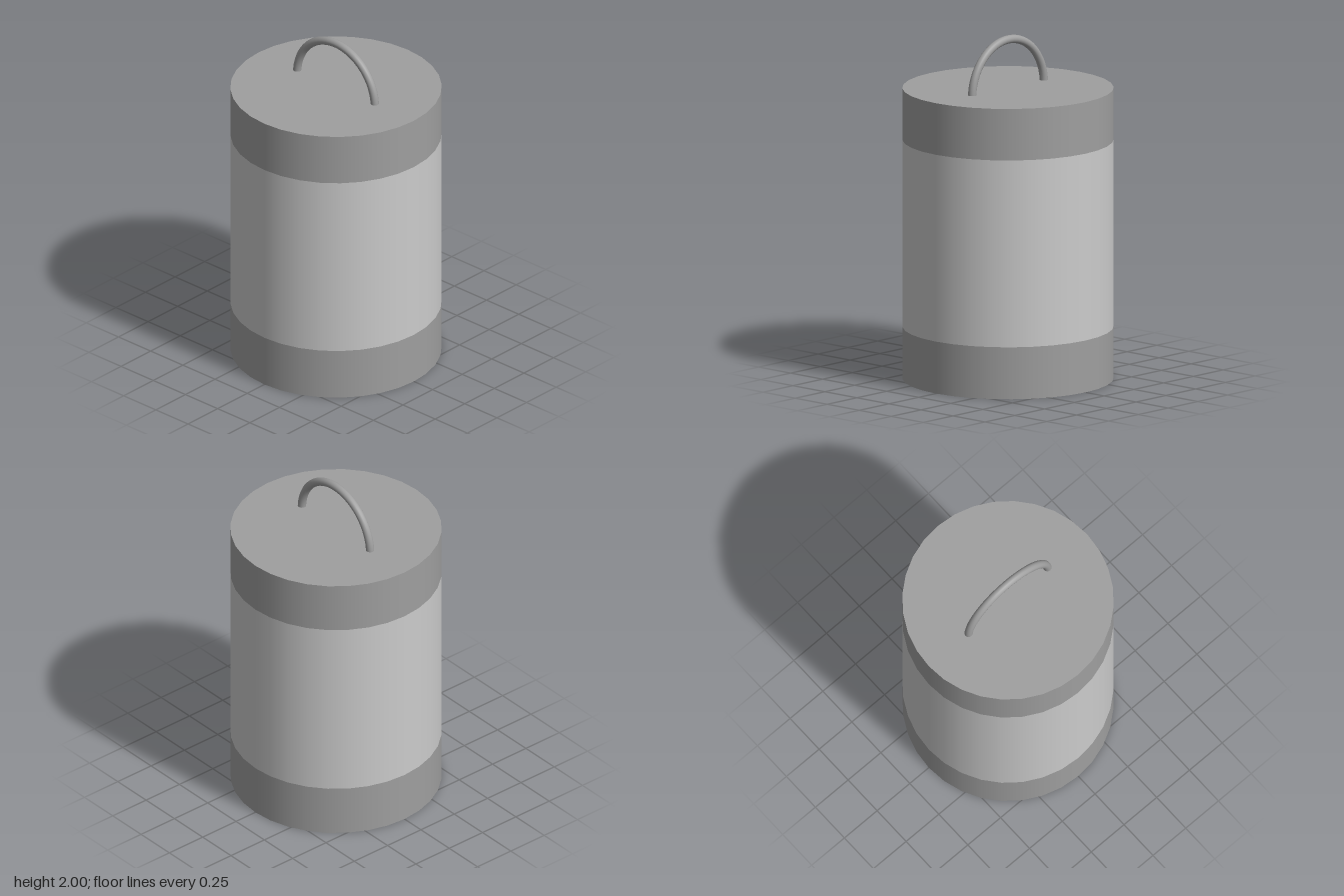
import * as THREE from 'three';

const RADIUS = 0.605;

export function createModel() {
  const group = new THREE.Group();
  const light = new THREE.MeshStandardMaterial({ color: 0xcccccc });
  const dark = new THREE.MeshStandardMaterial({ color: 0x9f9f9f });

  // Upright drum section between two heights
  function section(name, bottom, top, material) {
    const geometry = new THREE.CylinderGeometry(RADIUS, RADIUS, top - bottom, 32);
    const mesh = new THREE.Mesh(geometry, material);
    mesh.name = name;
    mesh.position.y = (bottom + top) / 2;
    group.add(mesh);
  }
  section('base', 0, 0.303, dark);
  section('body', 0.303, 1.394, light);
  section('lid', 1.394, 1.695, dark);

  // Half-ring carrying handle, its ends sunk slightly into the lid
  const ringRadius = 0.302, tubeRadius = 0.024;
  const handle = new THREE.Mesh(
    new THREE.TorusGeometry(ringRadius, tubeRadius, 16, 32, Math.PI), dark);
  handle.name = 'handle';
  handle.position.y = 2 - ringRadius - tubeRadius;
  group.add(handle);

  return group;
}
